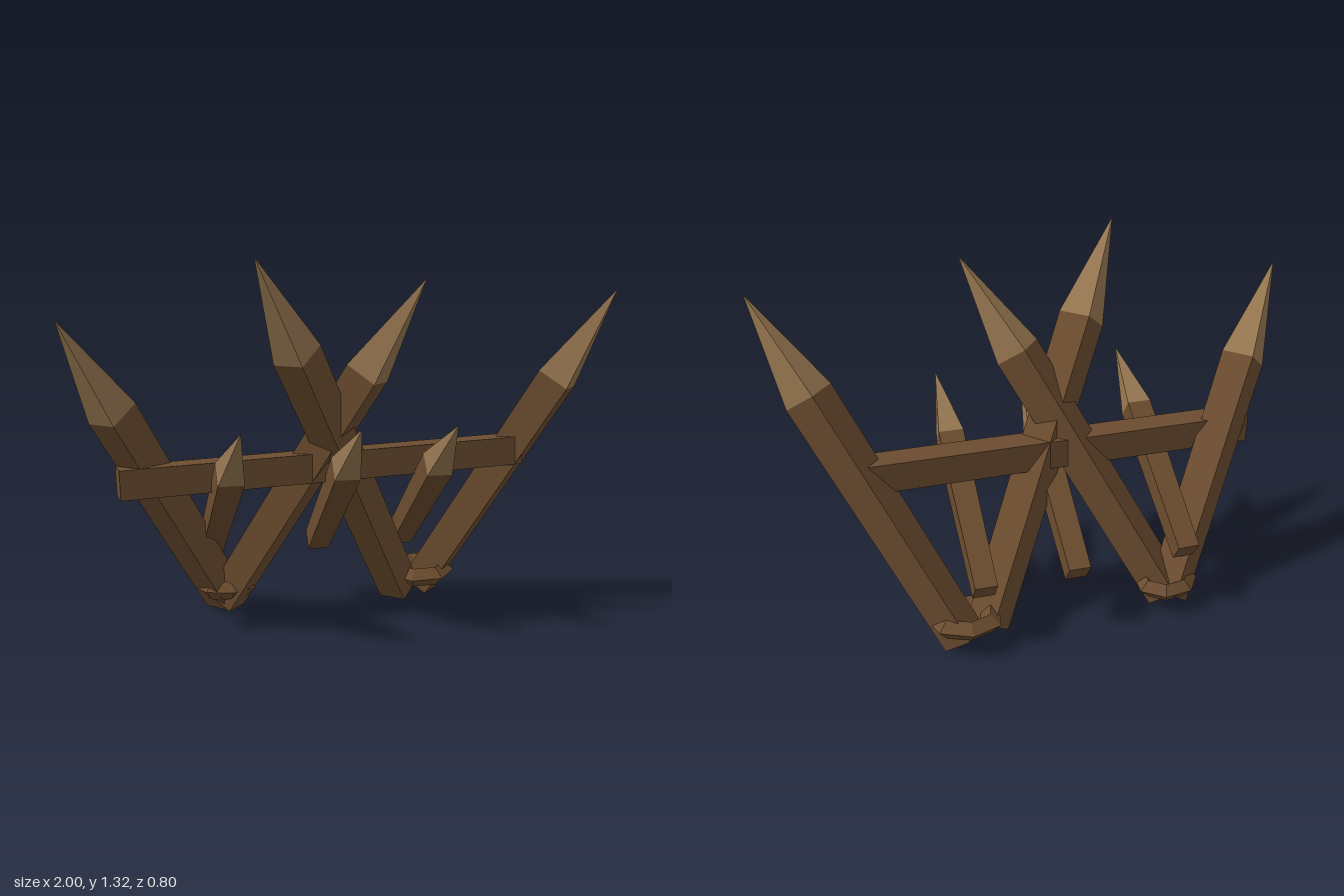
import * as THREE from 'three';

const wood = new THREE.MeshStandardMaterial({ name: 'dark wood', color: 0x6b4c2f, flatShading: true });
const cutWood = new THREE.MeshStandardMaterial({ name: 'fresh cut wood', color: 0x967650, flatShading: true });

// Square stake from a foot point to a sharpened point, with one pair of sides kept level
function makeStake(name, foot, point, footWidth, shoulderWidth, tipLength) {
  const a = new THREE.Vector3(...foot);
  const axis = new THREE.Vector3(...point).sub(a);
  const length = axis.length();
  axis.normalize();
  const side = new THREE.Vector3().crossVectors(axis, new THREE.Vector3(0, 1, 0)).normalize();
  const depth = new THREE.Vector3().crossVectors(side, axis);

  const shaftLength = length - tipLength;
  const r0 = footWidth * Math.SQRT1_2;
  const r1 = shoulderWidth * Math.SQRT1_2;
  const shaftGeo = new THREE.CylinderGeometry(r1, r0, shaftLength, 4)
    .rotateY(Math.PI / 4).translate(0, shaftLength / 2, 0);
  const tipGeo = new THREE.ConeGeometry(r1, tipLength, 4)
    .rotateY(Math.PI / 4).translate(0, shaftLength + tipLength / 2, 0);

  const shaft = new THREE.Mesh(shaftGeo, wood);
  shaft.name = name + 'Shaft';
  const tip = new THREE.Mesh(tipGeo, cutWood);
  tip.name = name + 'Tip';
  const stake = new THREE.Group();
  stake.name = name;
  stake.add(shaft, tip);
  stake.quaternion.setFromRotationMatrix(new THREE.Matrix4().makeBasis(side, axis, depth));
  stake.position.copy(a);
  return stake;
}

// Chunky binding around a pair of stake feet
function makeBinding(name, position, scale, rotation) {
  const geo = new THREE.TorusGeometry(0.1, 0.04, 4, 7).rotateX(Math.PI / 2);
  const mesh = new THREE.Mesh(geo, wood);
  mesh.name = name;
  mesh.position.set(...position);
  mesh.scale.set(...scale);
  mesh.rotation.set(...rotation);
  return mesh;
}

export function createModel() {
  const model = new THREE.Group();
  model.name = 'spikedBarricade';

  // Four long leaning stakes, the inner two crossing
  const stakes = [
    ['outerRightStake', [-0.37, 0.04, -0.295], [-1, 1.13, 0.17]],
    ['innerRightStake', [-0.375, 0.04, -0.27], [0.24, 1.26, 0.245]],
    ['innerLeftStake', [0.315, 0.04, -0.24], [-0.375, 1.33, 0.3]],
    ['outerLeftStake', [0.42, 0.04, -0.295], [0.995, 1.22, 0.2]],
  ];
  for (const [name, foot, point] of stakes) {
    model.add(makeStake(name, foot, point, 0.113, 0.124, 0.4));
  }

  // Three short spikes jutting forward under the rail
  const spikes = [[-0.42, -0.445], [0.005, -0.04], [0.35, 0.3]];
  spikes.forEach(([backX, frontX], i) => {
    model.add(makeStake('forwardSpike' + (i + 1),
      [backX, 0.235, -0.33], [frontX, 0.77, 0.4], 0.08, 0.092, 0.286));
  });

  // Cross rail, slightly skewed
  const from = new THREE.Vector3(-0.795, 0.556, -0.01);
  const to = new THREE.Vector3(0.715, 0.61, -0.04);
  const span = to.clone().sub(from);
  const rail = new THREE.Mesh(new THREE.BoxGeometry(span.length(), 0.105, 0.108), wood);
  rail.name = 'crossRail';
  rail.position.copy(from).add(to).multiplyScalar(0.5);
  rail.quaternion.setFromUnitVectors(new THREE.Vector3(1, 0, 0), span.normalize());
  model.add(rail);

  // Bindings at the feet
  model.add(makeBinding('rightBinding', [-0.37, 0.09, -0.275], [0.88, 0.85, 0.8], [0, 0.3, 0]));
  model.add(makeBinding('leftBinding', [0.405, 0.1, -0.26], [1, 0.9, 1], [0.05, 0.6, 0.05]));

  return model;
}
